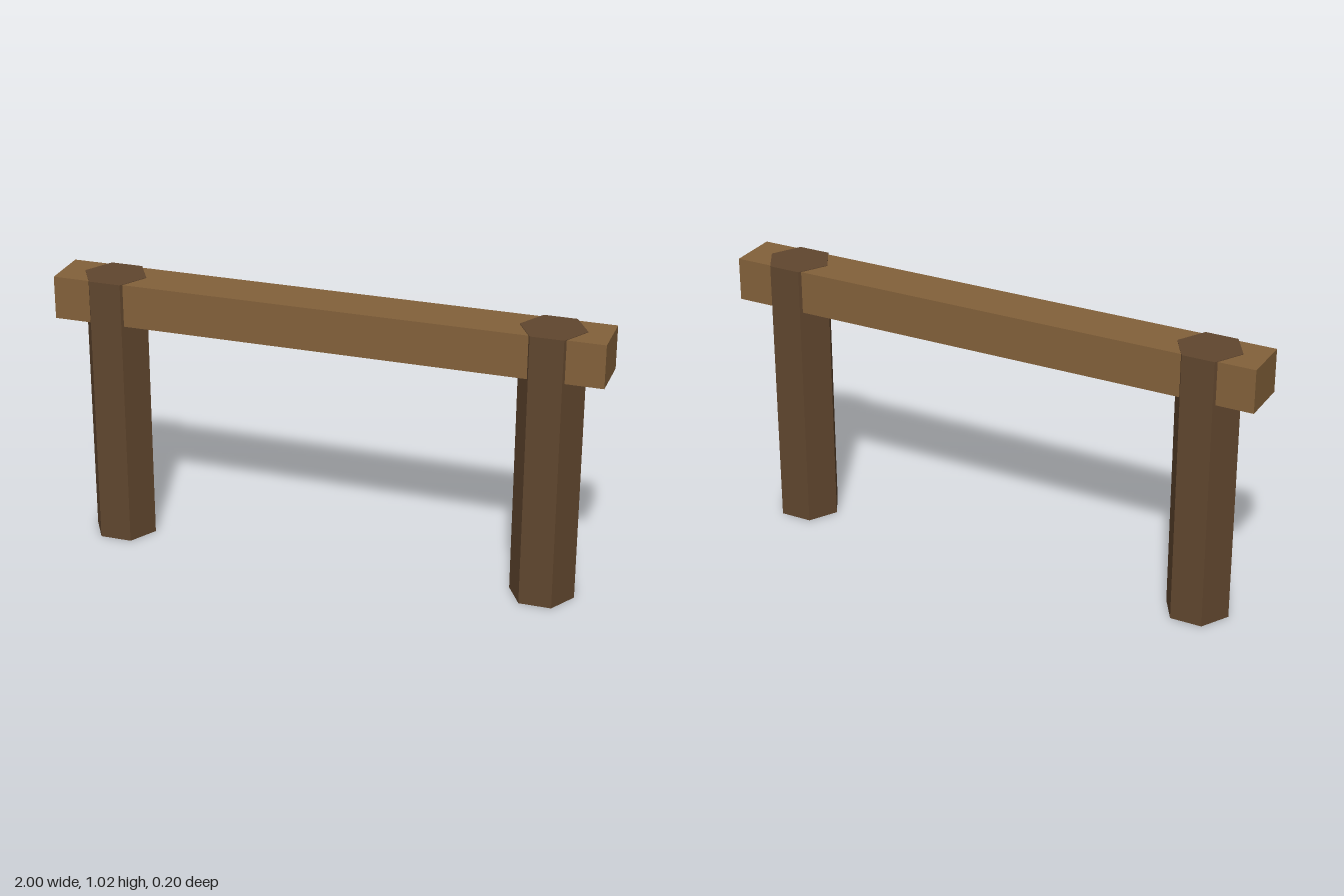
import * as THREE from 'three';

export function createModel() {
  const group = new THREE.Group();
  const beamWood = new THREE.MeshStandardMaterial({ color: 0x83613a });
  beamWood.name = 'lightWood';
  const postWood = new THREE.MeshStandardMaterial({ color: 0x60462e });
  postWood.name = 'darkWood';
  postWood.flatShading = true;

  // Horizontal rail
  const beam = new THREE.Mesh(new THREE.BoxGeometry(2, 0.158, 0.184), beamWood);
  beam.name = 'beam';
  beam.position.y = 0.935;
  group.add(beam);

  // Hexagonal posts, corners along x, tops a hair proud of the rail
  const height = 1.016;
  const postGeometry = new THREE.CylinderGeometry(0.118, 0.118, height, 6, 1, false, Math.PI / 6);
  for (const side of [-1, 1]) {
    const post = new THREE.Mesh(postGeometry, postWood);
    post.name = side > 0 ? 'leftPost' : 'rightPost';
    post.position.set(side * 0.8, height / 2, 0);
    group.add(post);
  }
  return group;
}
